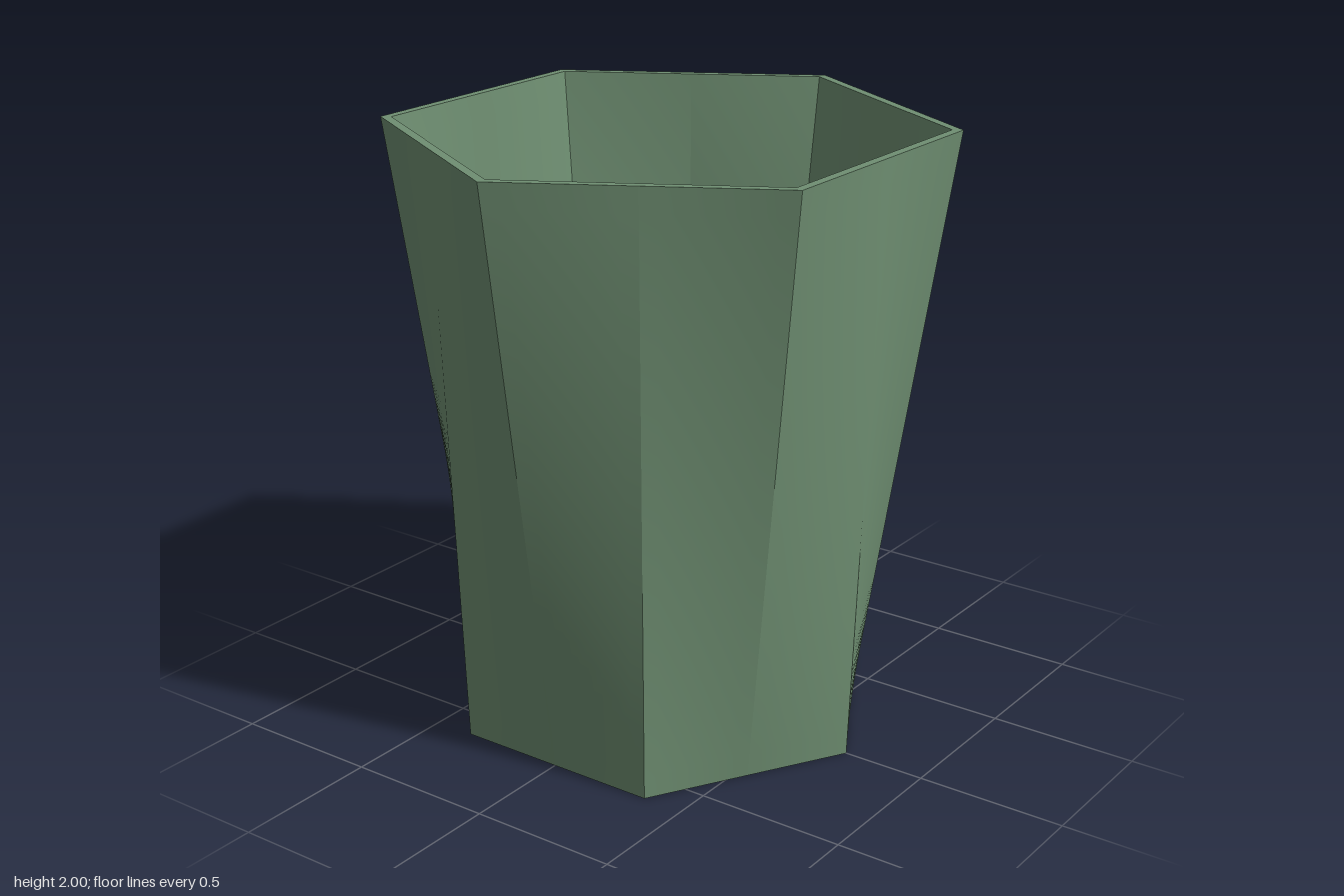
import * as THREE from 'three';
import { mergeGeometries } from 'three/addons/utils/BufferGeometryUtils.js';

const HEIGHT = 2, FLOOR = 0.035, HOLE = 0.08, WALL = 0.035;
const BASE_R = 0.72, TOP_R = 0.92, FLAT = Math.cos(Math.PI / 6);

// Point j (every 30 degrees) of the section at height y. The base hexagon has
// its corners on odd points, the rim hexagon on even points.
function sectionPoint(j, y, inset) {
  const a = j * Math.PI / 6, odd = j % 2 !== 0;
  const low = (BASE_R - inset) * (odd ? 1 : FLAT);
  const high = (TOP_R - inset) * (odd ? FLAT : 1);
  const r = THREE.MathUtils.lerp(low, high, y / HEIGHT);
  return new THREE.Vector3(r * Math.cos(a), y, r * Math.sin(a));
}

// Twelve ruled patches, each smooth inside, with creases where they meet
function wallGeometry(y0, inset, inward) {
  const across = 8, up = 24, patches = [];
  for (let j = 0; j < 12; j++) {
    const pos = [], index = [];
    for (let v = 0; v <= up; v++) {
      const y = THREE.MathUtils.lerp(y0, HEIGHT, v / up);
      const a = sectionPoint(j, y, inset), b = sectionPoint(j + 1, y, inset);
      for (let u = 0; u <= across; u++) pos.push(...a.clone().lerp(b, u / across).toArray());
    }
    for (let v = 0; v < up; v++) {
      for (let u = 0; u < across; u++) {
        const p = v * (across + 1) + u, q = p + across + 1;
        if (inward) index.push(p, p + 1, q, p + 1, q + 1, q);
        else index.push(p, q, p + 1, p + 1, q, q + 1);
      }
    }
    const g = new THREE.BufferGeometry();
    g.setAttribute('position', new THREE.Float32BufferAttribute(pos, 3));
    g.setIndex(index);
    g.computeVertexNormals();
    patches.push(g);
  }
  return mergeGeometries(patches);
}

function outline(y, inset) {
  const pts = [];
  for (let j = 0; j < 12; j++) {
    const p = sectionPoint(j, y, inset);
    pts.push(new THREE.Vector2(p.x, p.z));
  }
  return pts;
}

// Flat plate at height y with one opening, facing up or down
function plate(y, inset, hole, faceUp) {
  const shape = new THREE.Shape(outline(y, inset));
  shape.holes.push(hole);
  const g = new THREE.ShapeGeometry(shape, 24);
  g.rotateX(faceUp ? -Math.PI / 2 : Math.PI / 2);
  g.translate(0, y, 0);
  return g;
}

export function createModel() {
  const group = new THREE.Group();
  group.name = 'hexagonalPlanter';
  const green = new THREE.MeshStandardMaterial({ color: 0x6f8f72 });
  green.name = 'sage green';
  const add = (name, geometry) => {
    const mesh = new THREE.Mesh(geometry, green);
    mesh.name = name;
    group.add(mesh);
  };

  // Walls and rim
  add('outerWall', wallGeometry(0, 0, false));
  add('innerWall', wallGeometry(FLOOR, WALL, true));
  add('rim', plate(HEIGHT, 0, new THREE.Path(outline(HEIGHT, WALL)), true));

  // Floor with a round drainage hole
  const round = () => new THREE.Path().absarc(0, 0, HOLE, 0, Math.PI * 2, true);
  add('floor', plate(FLOOR, WALL, round(), true));
  add('underside', plate(0, 0, round(), false));
  add('drainageHole', new THREE.LatheGeometry(
    [new THREE.Vector2(HOLE, FLOOR), new THREE.Vector2(HOLE, 0)], 48));

  return group;
}
